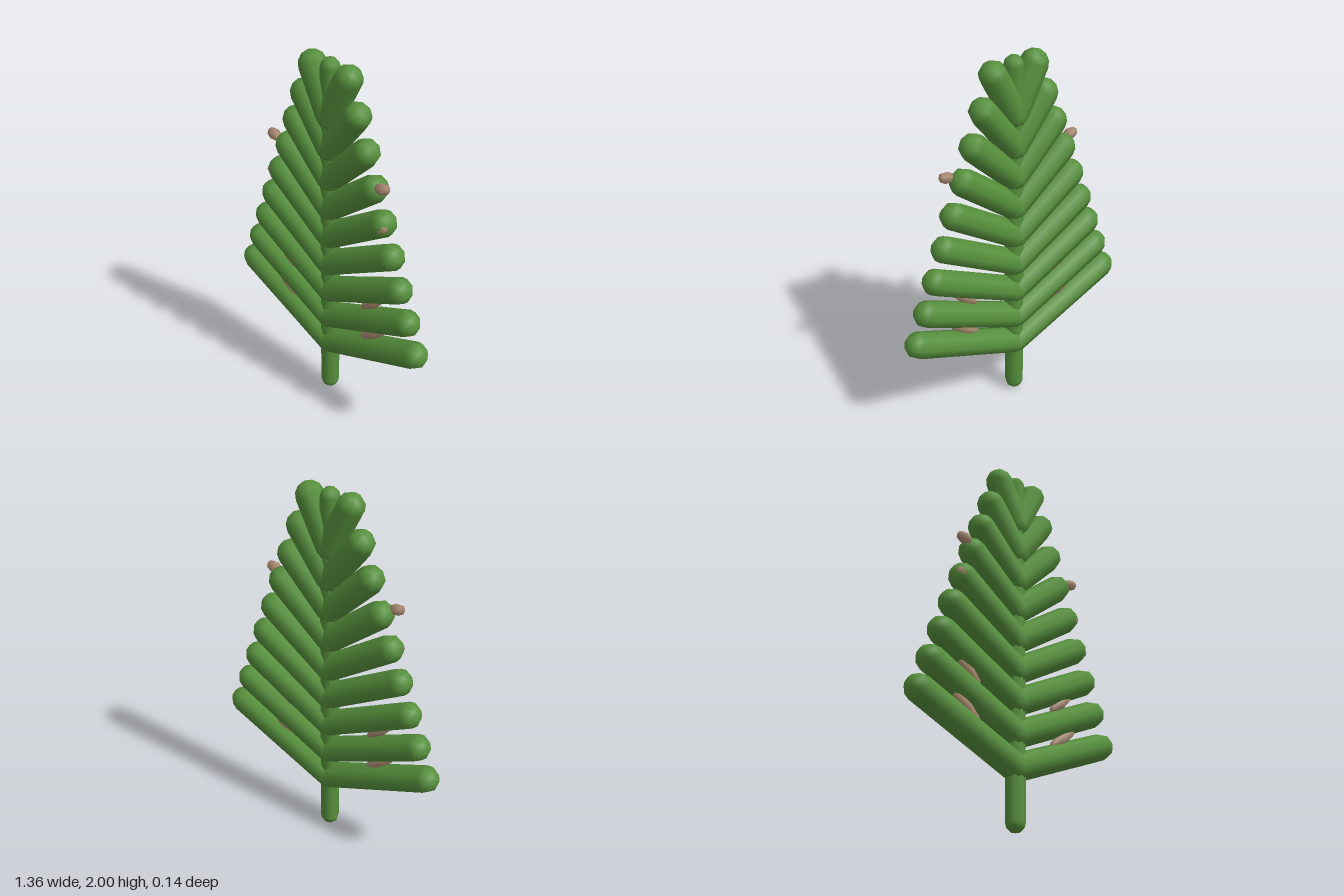
import * as THREE from 'three';

const green = new THREE.MeshStandardMaterial({ color: 0x56903c });
const brown = new THREE.MeshStandardMaterial({ color: 0xa88970 });
const UP = new THREE.Vector3(0, 1, 0);

// Low-poly rounded rod whose cap centres sit at a and b
function rod(name, a, b, radius) {
  const dir = b.clone().sub(a);
  const mesh = new THREE.Mesh(new THREE.CapsuleGeometry(radius, dir.length(), 3, 8), green);
  mesh.position.copy(a).add(b).multiplyScalar(0.5);
  mesh.quaternion.setFromUnitVectors(UP, dir.normalize());
  mesh.name = name;
  return mesh;
}

// Faceted spindle along a tilted axis
function spindle(name, side, x, y, z, halfLength, radius, tilt) {
  const geo = new THREE.SphereGeometry(1, 6, 4);
  geo.scale(radius, halfLength, radius);
  const mesh = new THREE.Mesh(geo, brown);
  mesh.position.set(side * x, y, z);
  mesh.rotation.z = -side * (Math.PI / 2 - tilt);
  mesh.name = name;
  return mesh;
}

export function createModel() {
  const tree = new THREE.Group();
  tree.name = 'flatTree';

  // Central stem
  tree.add(rod('stem', new THREE.Vector3(0, 0.055, 0), new THREE.Vector3(0, 1.95, 0), 0.05));

  for (const side of [1, -1]) {
    const half = new THREE.Group();
    half.name = side > 0 ? 'leftSide' : 'rightSide';

    // Nine branches, shorter and steeper towards the top
    for (let i = 0; i < 9; i++) {
      const base = new THREE.Vector3(0, 0.33 + 0.171 * i, 0);
      const tip = new THREE.Vector3(side * (0.608 - 0.061 * i), 0.58 + 0.1685 * i, 0);
      half.add(rod('branch', base, tip, 0.072));
    }

    // Bud at a branch tip, and one almost buried below it
    half.add(spindle('bud', side, 0.38, 1.462, 0.028, 0.046, 0.031, -0.2 + 0.5));
    half.add(spindle('buriedBud', side, 0.385, 1.25, 0.032, 0.045, 0.032, 0.4));

    // Slender cones in the gaps between the lower branches
    half.add(spindle('cone', side, 0.322, 0.556, 0.005, 0.11, 0.032, 0.65));
    half.add(spindle('cone', side, 0.31, 0.745, 0.005, 0.095, 0.03, 0.7));
    tree.add(half);
  }
  return tree;
}
